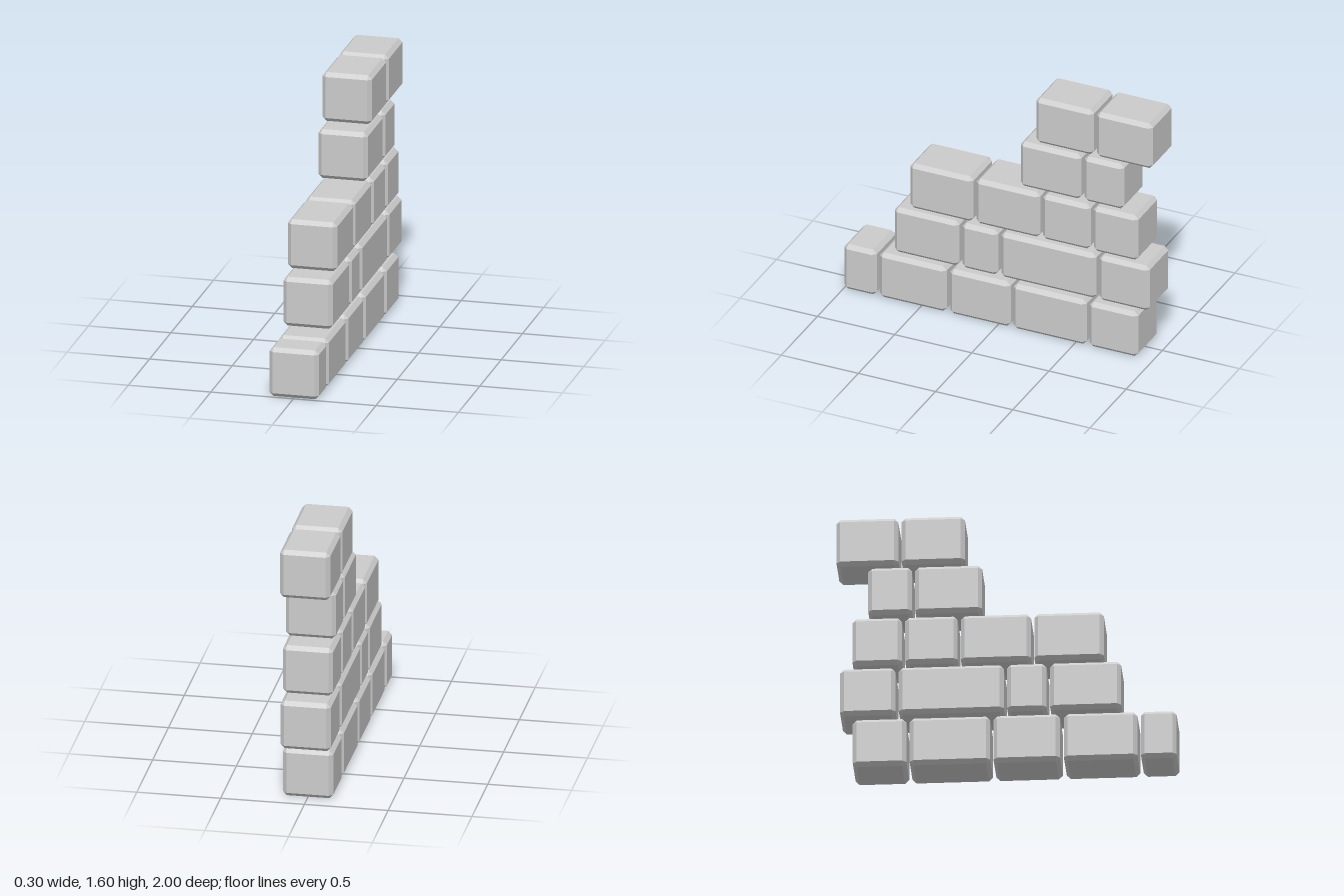
import * as THREE from 'three';
import { ConvexGeometry } from 'three/addons/geometries/ConvexGeometry.js';

const WIDTH = 0.3, HEIGHT = 0.302, BEVEL = 0.024;

// Box with every edge and corner chamfered: three points near each corner
function chamferedBox(w, h, d, b) {
  const points = [];
  for (const sx of [-1, 1]) for (const sy of [-1, 1]) for (const sz of [-1, 1]) {
    for (let axis = 0; axis < 3; axis++) {
      const half = [w / 2 - b, h / 2 - b, d / 2 - b];
      half[axis] += b;
      points.push(new THREE.Vector3(sx * half[0], sy * half[1], sz * half[2]));
    }
  }
  return new ConvexGeometry(points);
}

// Courses from the ground up: base height and [front z, back z] of each brick
const COURSES = [
  { y: 0.0, bricks: [[1.0, 0.79], [0.77, 0.337], [0.315, -0.077], [-0.096, -0.57], [-0.589, -0.904]] },
  { y: 0.33, bricks: [[0.674, 0.256], [0.235, 0.003], [-0.016, -0.634], [-0.653, -0.979]] },
  { y: 0.653, bricks: [[0.572, 0.163], [0.144, -0.269], [-0.287, -0.596], [-0.615, -0.906]] },
  { y: 0.978, bricks: [[-0.143, -0.537], [-0.556, -0.813]] },
  { y: 1.298, bricks: [[-0.244, -0.617], [-0.636, -1.0]] },
];

export function createModel() {
  const wall = new THREE.Group();
  wall.name = 'brokenBrickWall';
  const material = new THREE.MeshStandardMaterial({ color: 0xcccccc, flatShading: true });

  COURSES.forEach(({ y, bricks }, row) => {
    const course = new THREE.Group();
    course.name = `course${row + 1}`;
    course.position.y = y + HEIGHT / 2;
    bricks.forEach(([front, back], i) => {
      const brick = new THREE.Mesh(chamferedBox(WIDTH, HEIGHT, front - back, BEVEL), material);
      brick.name = `brick${i + 1}`;
      brick.position.z = (front + back) / 2;
      course.add(brick);
    });
    wall.add(course);
  });
  return wall;
}
